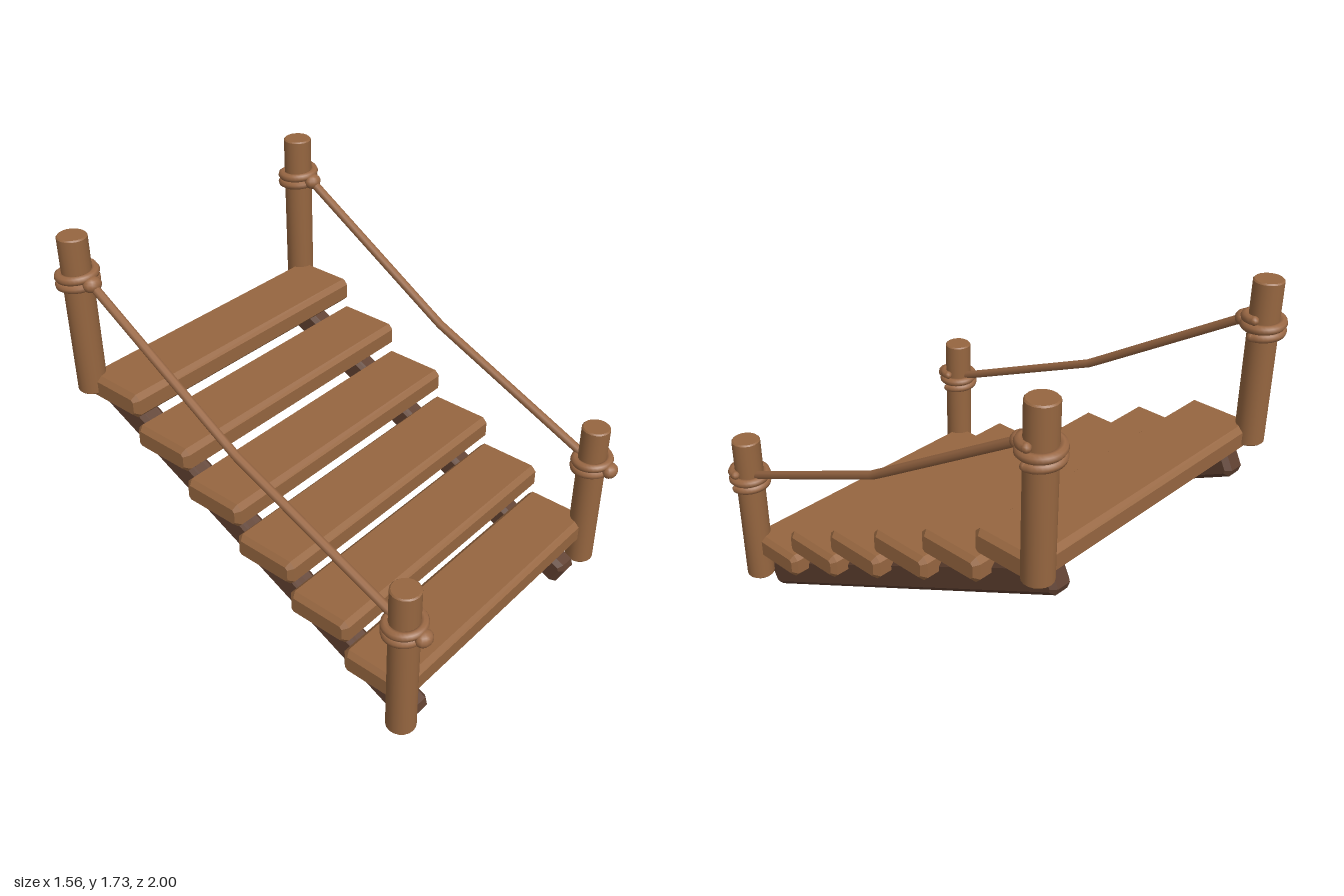
import * as THREE from 'three';
import { toCreasedNormals } from 'three/addons/utils/BufferGeometryUtils.js';

const wood = new THREE.MeshStandardMaterial({ color: 0x966640, name: 'wood' });
const rope = new THREE.MeshStandardMaterial({ color: 0x9a6844, name: 'rope' });
const darkWood = new THREE.MeshStandardMaterial({ color: 0x5f4030, name: 'dark wood' });

function add(parent, name, geometry, material, x = 0, y = 0, z = 0) {
  const mesh = new THREE.Mesh(geometry, material);
  mesh.name = name;
  mesh.position.set(x, y, z);
  parent.add(mesh);
  return mesh;
}

// Box with every edge chamfered by c; w along x, h along y, d along z
function chamferBox(w, h, d, c) {
  const a = d / 2 - c, b = h / 2 - c, k = c * 0.5;
  const shape = new THREE.Shape([
    [-a + k, -b], [a - k, -b], [a, -b + k], [a, b - k],
    [a - k, b], [-a + k, b], [-a, b - k], [-a, -b + k],
  ].map(([x, y]) => new THREE.Vector2(x, y)));
  const geo = new THREE.ExtrudeGeometry(shape, {
    depth: w - 2 * c, bevelEnabled: true, bevelThickness: c, bevelSize: c, bevelSegments: 1,
  });
  geo.translate(0, 0, -(w / 2 - c));
  geo.rotateY(Math.PI / 2);
  return toCreasedNormals(geo, 0.3);
}

// Post with softened rims, standing on its base
function postGeometry(r, h) {
  const b = 0.006;
  const profile = [[0, 0], [r - b, 0], [r, b], [r, h - b], [r - b, h], [0, h]];
  const geo = new THREE.LatheGeometry(profile.map(([x, y]) => new THREE.Vector2(x, y)), 18);
  return toCreasedNormals(geo, 0.6);
}

// Two-turn rope coil, climbing from back to front round the post
function coilGeometry(r, rise) {
  const points = [];
  for (let i = 0; i <= 32; i++) {
    const t = (i / 32) * Math.PI * 4;
    points.push(new THREE.Vector3(r * Math.cos(t), rise * (i / 32 - 0.5), -r * Math.sin(t)));
  }
  return new THREE.TubeGeometry(new THREE.CatmullRomCurve3(points), 64, 0.02, 8);
}

export function createModel() {
  const model = new THREE.Group();
  model.name = 'ropeStairs';

  // Treads
  const treadGeo = chamferBox(1.41, 0.118, 0.32, 0.022);
  for (let i = 0; i < 6; i++) {
    add(model, 'tread', treadGeo, wood, 0, 0.283 + i * 0.147, 0.725 - i * 0.295);
  }

  // Sloping beams under the treads
  const beamGeo = chamferBox(0.11, 0.14, 1.99, 0.022);
  for (const side of [-1, 1]) {
    const beam = add(model, 'beam', beamGeo, darkWood, side * 0.567, 0.509, -0.022);
    beam.rotation.x = Math.atan2(0.88, 1.765);
  }

  // Posts with their rope lashings
  const postGeo = postGeometry(0.065, 0.748);
  const coilGeo = coilGeometry(0.077, 0.073);
  const endGeo = new THREE.SphereGeometry(0.02, 8, 6);
  const knotGeo = new THREE.SphereGeometry(0.035, 12, 8);
  for (const side of [-1, 1]) {
    for (const [z, base] of [[0.87, 0.106], [-0.905, 0.993]]) {
      const post = new THREE.Group();
      post.name = 'postWithLashing';
      post.position.set(side * 0.685, base, z);
      add(post, 'post', postGeo, wood);
      add(post, 'ropeCoil', coilGeo, rope, 0, 0.55, 0);
      add(post, 'ropeEnd', endGeo, rope, 0.077, 0.513, 0.004);
      add(post, 'ropeEnd', endGeo, rope, 0.077, 0.587, 0);
      add(post, 'knot', knotGeo, rope, 0, 0.55, 0.095).scale.set(1.25, 1, 1);
      model.add(post);
    }

    // Sagging hand rope in two straight spans
    const path = new THREE.CurvePath();
    const p = [[0.66, 0.87], [1.045, -0.01], [1.545, -0.82]]
      .map(([y, z]) => new THREE.Vector3(side * 0.685, y, z));
    path.add(new THREE.LineCurve3(p[0], p[1]));
    path.add(new THREE.LineCurve3(p[1], p[2]));
    add(model, 'handRope', new THREE.TubeGeometry(path, 24, 0.02, 8), rope);
  }
  return model;
}
